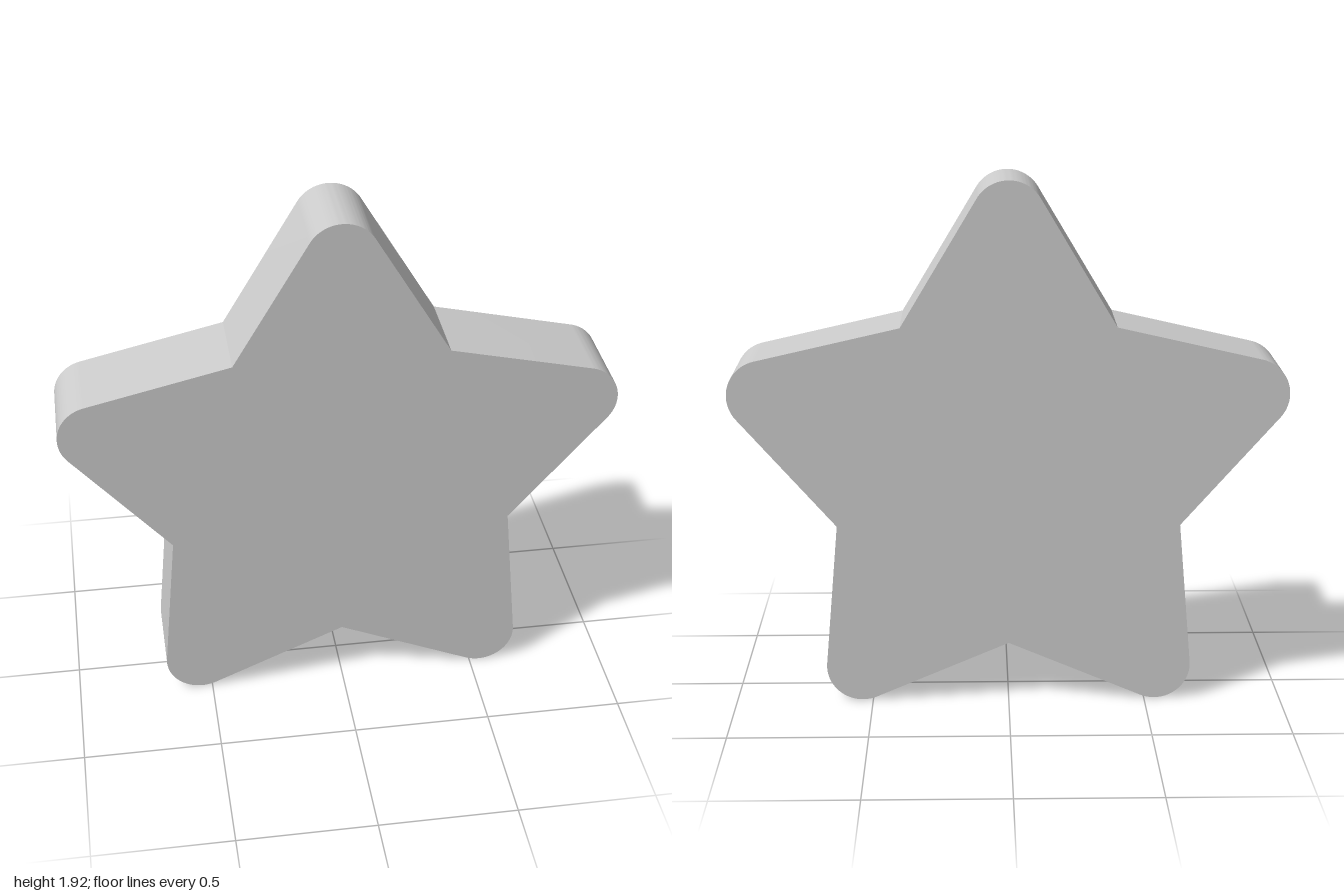
import * as THREE from 'three';
import { toCreasedNormals } from 'three/addons/utils/BufferGeometryUtils.js';

const POINTS = 5;
const CENTRE_Y = 0.87;
const NOTCH_RADIUS = 0.652; // centre to the sharp inner corners
const TIP_CENTRE = 0.915;   // centre to the middle of each tip's rounding
const TIP_RADIUS = 0.13;
const DEPTH = 0.32;

// Star outline: round tips joined by straight tangents to sharp notches
function starShape() {
  const step = Math.PI / POINTS;
  const nx = NOTCH_RADIUS * Math.sin(step);
  const ny = TIP_CENTRE - NOTCH_RADIUS * Math.cos(step);
  const halfAngle = Math.atan2(nx, ny) - Math.asin(TIP_RADIUS / Math.hypot(nx, ny));
  const sweep = Math.PI / 2 - halfAngle;

  const shape = new THREE.Shape();
  for (let i = 0; i < POINTS; i++) {
    const a = Math.PI / 2 + i * 2 * step;
    const notch = a + step;
    shape.absarc(TIP_CENTRE * Math.cos(a), TIP_CENTRE * Math.sin(a), TIP_RADIUS, a - sweep, a + sweep, false);
    shape.lineTo(NOTCH_RADIUS * Math.cos(notch), NOTCH_RADIUS * Math.sin(notch));
  }
  shape.closePath();
  return shape;
}

export function createModel() {
  const group = new THREE.Group();
  group.name = 'star';

  // Flat slab with smooth tips and crisp rims
  const slab = new THREE.ExtrudeGeometry(starShape(), { depth: DEPTH, bevelEnabled: false, curveSegments: 20 });
  slab.translate(0, CENTRE_Y, -DEPTH / 2);
  const body = new THREE.Mesh(toCreasedNormals(slab, 0.5), new THREE.MeshStandardMaterial({ color: 0xcccccc }));
  body.name = 'starBody';
  group.add(body);
  return group;
}
